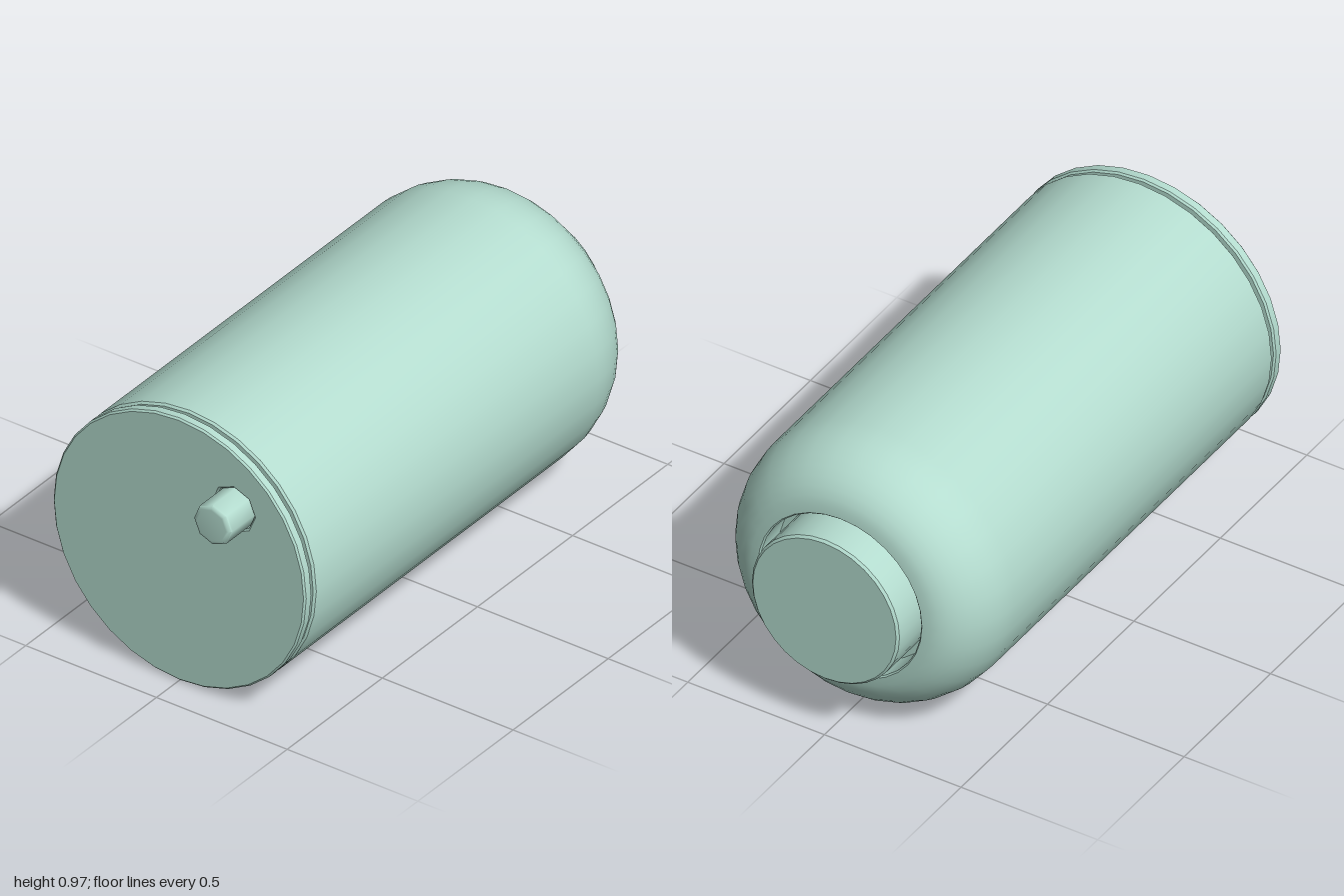
import * as THREE from 'three';
import { toCreasedNormals } from 'three/addons/utils/BufferGeometryUtils.js';

const RADIUS = 0.483;
const SIDES = 32;
const material = new THREE.MeshStandardMaterial({ color: 0xb4dccf });

function addPart(group, name, geometry, crease) {
  const mesh = new THREE.Mesh(toCreasedNormals(geometry, crease), material);
  mesh.name = name;
  group.add(mesh);
  return mesh;
}

// Turned part around the z axis; the profile holds [radius, z] from back to front
function turned(profile, sides) {
  const points = profile.map(([r, z]) => new THREE.Vector2(r, z));
  return new THREE.LatheGeometry(points, sides).rotateX(Math.PI / 2);
}

// Regular polygon outline with a corner at the top
function polygon(radius, sides, cx = 0, cy = 0) {
  return Array.from({ length: sides }, (_, i) => {
    const a = Math.PI / 2 + (i * 2 * Math.PI) / sides;
    return new THREE.Vector2(cx + radius * Math.cos(a), cy + radius * Math.sin(a));
  });
}

export function createModel() {
  const group = new THREE.Group();
  group.name = 'canister';
  const knobX = 0.21, knobY = 0.23;

  // Body: recessed socket at the back, rounded shoulder, straight wall, front groove
  const profile = [[0, -0.8], [0.295, -0.8], [0.295, -0.905]];
  const steps = 10;
  for (let i = 0; i <= steps; i++) {
    const a = (i / steps) * Math.PI / 2;
    profile.push([0.3 + (RADIUS - 0.3) * Math.sin(a), -0.66 - 0.25 * Math.cos(a)]);
  }
  profile.push([RADIUS, 0.823], [0.476, 0.83], [0.455, 0.83], [0.455, 0.85], [0, 0.85]);
  addPart(group, 'body', turned(profile, SIDES), 0.6);

  // Round plug in the back socket
  addPart(group, 'backCap', turned(
    [[0, -1], [0.262, -1], [0.27, -0.992], [0.27, -0.8]], SIDES), 0.6);

  // Front plate with bevelled edges and an eight-sided hole for the knob
  const bevel = 0.006;
  const plate = new THREE.Shape(polygon(RADIUS - bevel, SIDES));
  plate.holes.push(new THREE.Path(polygon(0.083, 8, knobX, knobY).reverse()));
  const plateGeometry = new THREE.ExtrudeGeometry(plate, {
    depth: 0.038 - 2 * bevel, bevelEnabled: true,
    bevelThickness: bevel, bevelSize: bevel, bevelSegments: 1,
  }).translate(0, 0, 0.844 + bevel);
  addPart(group, 'frontPlate', plateGeometry, 0.6);

  // Eight-sided knob
  const knob = addPart(group, 'knob', turned(
    [[0.072, 0.84], [0.072, 0.985], [0.071, 0.992], [0.064, 0.999], [0.056, 1], [0, 1]], 8), 0.85);
  knob.position.set(knobX, knobY, 0);

  group.position.y = RADIUS;
  const model = new THREE.Group();
  model.add(group);
  return model;
}
